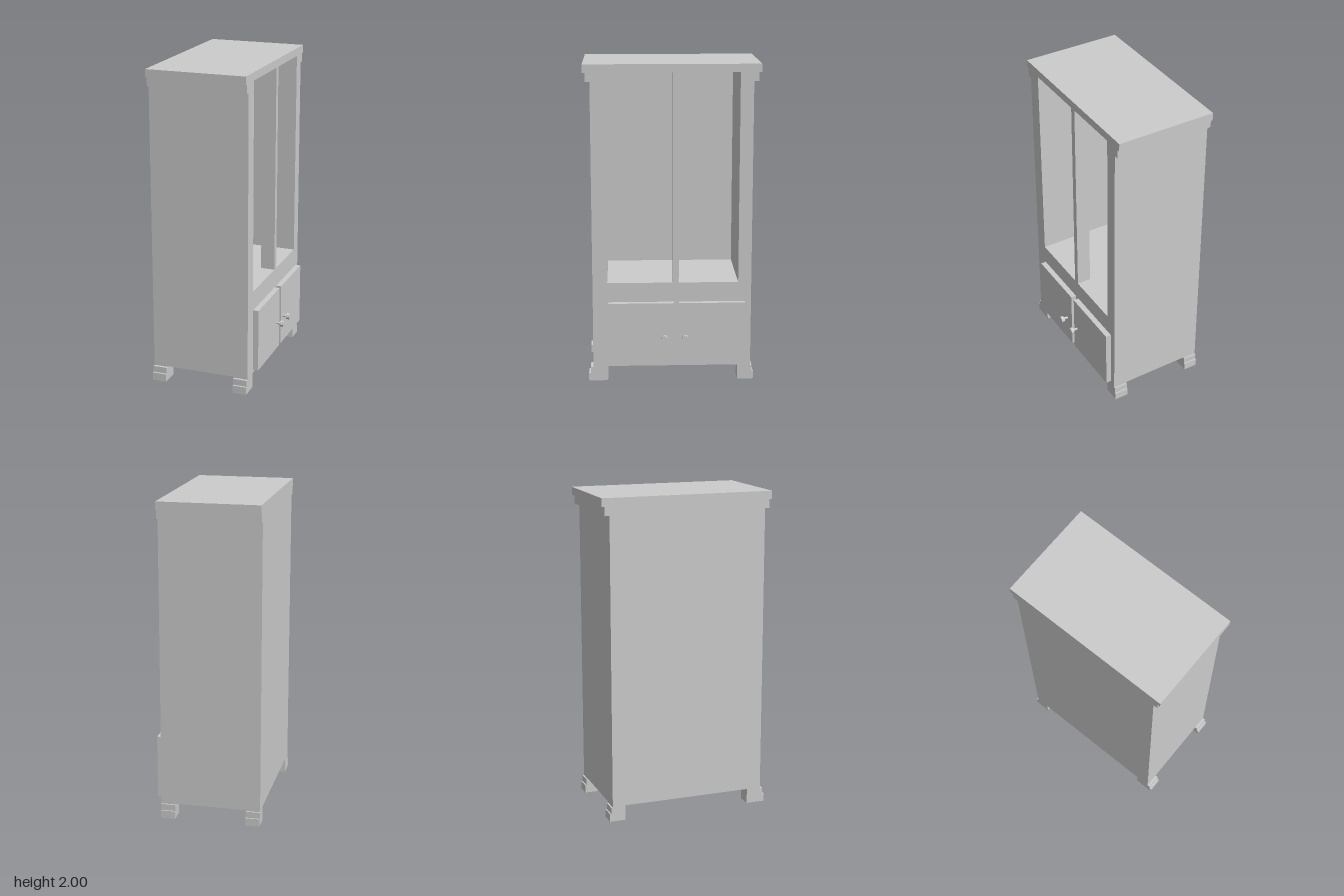
import * as THREE from 'three';

const material = new THREE.MeshStandardMaterial({ color: 0xcccccc, flatShading: true });
const BACK = -0.357, FRONT = 0.27, WALL = 0.09;
const FLOOR = 0.64, CEILING = 1.95, BASE = 0.095;

// Outlines are drawn as seen from the door side (u runs along -z), then turned to face +x.
function rectHole(u0, u1, v0, v1) {
  return new THREE.Path([[u0, v0], [u0, v1], [u1, v1], [u1, v0]].map(p => new THREE.Vector2(...p)));
}

function slice(name, x0, x1, hasFeet, holes) {
  // Stepped cornice, straight sides and, on the end slices, stepped feet
  const cornice = [[0.495, 1.895], [0.525, 1.895], [0.525, 1.95], [0.542, 1.95], [0.542, 2]];
  const rightFoot = hasFeet
    ? [[0.413, BASE], [0.413, 0], [0.514, 0], [0.514, 0.05], [0.505, 0.05], [0.505, 0.09], [0.495, 0.09]]
    : [[0.495, BASE]];
  const leftFoot = hasFeet
    ? [[-0.497, 0.09], [-0.514, 0.09], [-0.514, 0.05], [-0.526, 0.05], [-0.526, 0], [-0.406, 0], [-0.406, BASE]]
    : [[-0.497, BASE]];
  const leftCornice = cornice.map(([u, v]) => [u === 0.495 ? -0.497 : -u, v]).reverse();
  const outline = [...rightFoot, ...cornice, ...leftCornice, ...leftFoot];
  const shape = new THREE.Shape(outline.map(p => new THREE.Vector2(...p)));
  shape.holes.push(...holes);
  const geometry = new THREE.ExtrudeGeometry(shape, { depth: x1 - x0, bevelEnabled: false });
  geometry.rotateY(Math.PI / 2).translate(x0, 0, 0);
  return named(name, geometry);
}

function named(name, geometry) {
  const mesh = new THREE.Mesh(geometry, material);
  mesh.name = name;
  return mesh;
}

function rod(name, radius, x0, x1, y, z) {
  const geometry = new THREE.CylinderGeometry(radius, radius, x1 - x0, 8);
  geometry.rotateZ(-Math.PI / 2).translate((x0 + x1) / 2, y, z);
  return named(name, geometry);
}

// Overlaid lower door with its knob
function lowerDoor(side, z0, z1, knobZ) {
  const door = new THREE.Group();
  door.name = side + 'LowerDoor';
  const panel = new THREE.BoxGeometry(0.035, 0.4, z1 - z0);
  panel.translate(FRONT + 0.0175, 0.316, (z0 + z1) / 2);
  door.add(
    named('doorPanel', panel),
    rod('knobStem', 0.008, 0.305, 0.337, 0.298, knobZ),
    rod('knobHead', 0.021, 0.335, 0.356, 0.298, knobZ)
  );
  return door;
}

export function createModel() {
  const group = new THREE.Group();
  group.name = 'cabinet';

  // Carcass: solid back, hollow middle, front frame with a centre post
  group.add(
    slice('backPanel', BACK, BACK + WALL, true, []),
    slice('carcass', BACK + WALL, FRONT - WALL, false, [rectHole(-0.405, 0.413, FLOOR, CEILING)]),
    slice('frontFrame', FRONT - WALL, FRONT, true, [
      rectHole(-0.405, 0.004, FLOOR, CEILING),
      rectHole(0.041, 0.413, FLOOR, CEILING)
    ])
  );

  // Pair of lower doors
  group.add(lowerDoor('near', -0.011, 0.401, 0.05), lowerDoor('far', -0.454, -0.042, -0.08));
  return group;
}
